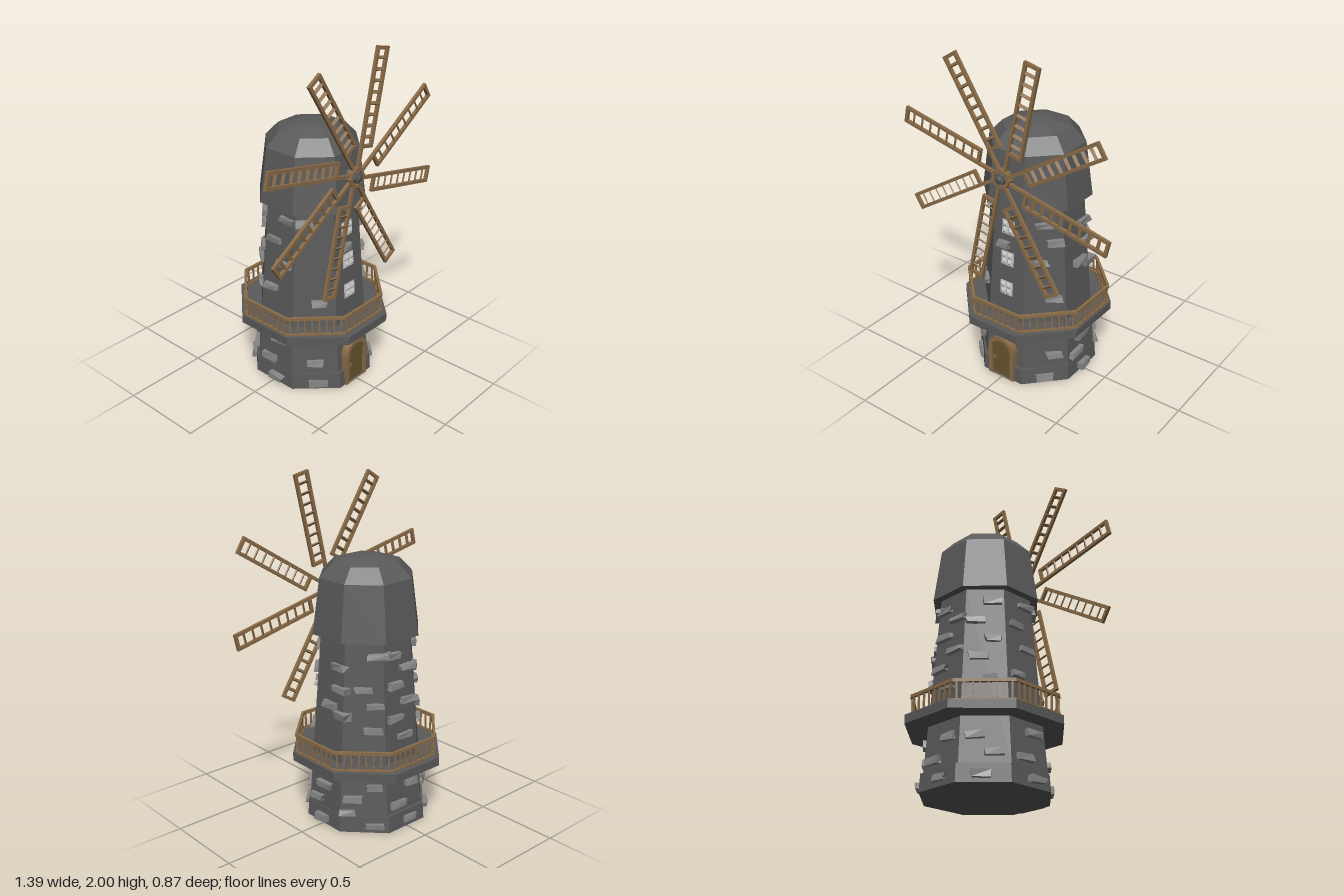
import * as THREE from 'three';

const mat = (name, color) => {
  const m = new THREE.MeshStandardMaterial({ color, flatShading: true });
  m.name = name;
  return m;
};

export function createModel() {
  const stone = mat('dark stone', 0x5a5a5a);
  const brickMat = mat('light brick', 0x868686);
  const wood = mat('wood', 0x8a6c48);
  const doorMat = mat('door wood', 0x66552c);
  const pane = mat('window grey', 0xc4c4c4);

  const root = new THREE.Group();
  root.name = 'windmill';
  let seed = 7;
  const rand = () => (seed = (seed * 16807) % 2147483647) / 2147483647;

  const add = (parent, name, geo, material, x = 0, y = 0, z = 0) => {
    const mesh = new THREE.Mesh(geo, material);
    mesh.name = name;
    mesh.position.set(x, y, z);
    parent.add(mesh);
    return mesh;
  };
  const group = (name, parent = root) => {
    const g = new THREE.Group();
    g.name = name;
    parent.add(g);
    return g;
  };
  const box = (w, h, d) => new THREE.BoxGeometry(w, h, d);

  // Octagonal solid with flat sides facing front; profile is [apothem, y]
  const octagon = (name, profile, sx = 1, sz = 1) => {
    const pts = profile.map(([a, y]) => new THREE.Vector2(a / Math.cos(Math.PI / 8), y));
    const geo = new THREE.LatheGeometry(pts, 8, Math.PI / 8);
    geo.scale(sx, 1, sz);
    return add(root, name, geo, stone);
  };

  // Tower body, balcony floor and domed cap
  octagon('base', [[0, 0], [0.342, 0], [0.336, 0.1], [0, 0.1]], 0.98, 1.02);
  octagon('tower', [[0.325, 0.1], [0.25, 1.13]]);
  octagon('balconyFloor', [[0, 0.36], [0.41, 0.36], [0.41, 0.41], [0, 0.41]], 1, 1.06);
  octagon('cap', [[0, 1.12], [0.295, 1.12], [0.255, 1.44], [0.185, 1.52], [0.09, 1.55], [0, 1.557]]);

  const wallAt = (y) => (y < 0.1 ? 0.34 : 0.325 - (y - 0.1) * 0.0735);
  const tilt = -0.0735;

  // Protruding bricks: [sideways, height] on each wall, walking round from the front
  const walls = [
    [[-0.03, 0.87]],
    [[0, 1.02], [0.06, 0.91], [-0.03, 0.79], [0.05, 0.56], [0.05, 0.18], [-0.01, 0.04]],
    [[0.07, 0.965], [0.02, 0.735], [0.11, 0.69], [0.09, 0.84], [0, 0.245], [-0.06, 0.15], [0, 0.04]],
    [[0.08, 1.04], [0, 0.845], [0.06, 0.755], [0.05, 0.61], [-0.06, 0.2], [-0.09, 0.12], [0.06, 0.27], [0.07, 0.04]],
    [[-0.05, 1.03], [0.06, 0.95], [-0.03, 0.86], [0.06, 0.76], [-0.05, 0.67], [0.02, 0.55], [0.05, 0.26], [-0.05, 0.15], [0.02, 0.05]],
    [[0.04, 1.04], [-0.05, 0.92], [0.05, 0.81], [-0.03, 0.7], [0.03, 0.57], [-0.05, 0.25], [0.05, 0.16], [-0.02, 0.04]],
    [[0.05, 1.05], [-0.04, 0.91], [0.04, 0.78], [-0.05, 0.61], [0.04, 0.29], [-0.04, 0.15], [0.03, 0.04]],
    [[-0.06, 1.05], [0.02, 0.56], [0, 0.17], [0.02, 0.04]],
  ];
  // Box with its eight corners shifted at random
  const roughBrick = () => {
    const geo = box(0.085 + rand() * 0.03, 0.032 + rand() * 0.008, 0.05);
    const p = geo.attributes.position;
    const shifts = Array.from({ length: 8 }, () => [rand() - 0.5, rand() - 0.5, rand() - 0.5]);
    for (let i = 0; i < p.count; i++) {
      const [x, y, z] = [p.getX(i), p.getY(i), p.getZ(i)];
      const s = shifts[(x > 0 ? 1 : 0) + (y > 0 ? 2 : 0) + (z > 0 ? 4 : 0)];
      p.setXYZ(i, x + s[0] * 0.02, y + s[1] * 0.012, z + s[2] * 0.014);
    }
    geo.computeVertexNormals();
    return geo;
  };
  const bricks = group('bricks');
  walls.forEach((list, k) => {
    const wall = group('wallBricks', bricks);
    wall.rotation.y = (k * Math.PI) / 4;
    for (const [u, y] of list) add(wall, 'brick', roughBrick(), brickMat, u, y, wallAt(y)).rotation.x = tilt;
  });

  // Balcony railing, one straight run per side
  const railing = group('railing');
  const apothem = 0.395;
  const side = 2 * apothem * Math.tan(Math.PI / 8);
  for (let k = 0; k < 8; k++) {
    const run = group('railingSide', railing);
    run.rotation.y = (k * Math.PI) / 4;
    add(run, 'topRail', box(side, 0.018, 0.016), wood, 0, 0.521, apothem);
    add(run, 'bottomRail', box(side, 0.01, 0.014), wood, 0, 0.417, apothem);
    for (let i = 0; i < 8; i++) {
      add(run, 'baluster', box(0.009, 0.1, 0.009), wood, ((i + 0.5) / 8 - 0.5) * side, 0.465, apothem)
        .rotation.z = (rand() - 0.5) * 0.12;
    }
  }

  // Arched door
  const arch = (Kind, r) => {
    const s = new Kind();
    s.moveTo(-r, 0);
    s.lineTo(r, 0);
    s.lineTo(r, 0.19);
    s.absarc(0, 0.19, r, 0, Math.PI, false);
    s.lineTo(-r, 0);
    return s;
  };
  const extrude = (shape, depth) =>
    new THREE.ExtrudeGeometry(shape, { depth, bevelEnabled: false, curveSegments: 6 });
  const door = group('door');
  const frame = arch(THREE.Shape, 0.092);
  frame.holes.push(arch(THREE.Path, 0.066));
  add(door, 'doorFrame', extrude(frame, 0.07), wood, -0.004, 0, 0.29);
  add(door, 'doorPanel', extrude(arch(THREE.Shape, 0.067), 0.058), doorMat, -0.004, 0, 0.29);
  add(door, 'doorHandle', box(0.01, 0.02, 0.012), wood, -0.052, 0.12, 0.351);

  // Windows with four faceted panes each
  const facet = new THREE.ConeGeometry(0.0255, 0.016, 4);
  facet.rotateY(Math.PI / 4);
  facet.rotateX(Math.PI / 2);
  for (const y of [0.98, 0.785, 0.595]) {
    const win = group('window');
    win.position.set(-0.004, y, wallAt(y));
    win.rotation.x = tilt;
    add(win, 'windowPlate', box(0.085, 0.085, 0.008), pane, 0, 0, 0.002);
    for (const sx of [-1, 1])
      for (const sy of [-1, 1]) add(win, 'windowPane', facet, pane, sx * 0.02, sy * 0.02, 0.013);
  }

  // Rotor: axle, hub and eight ladder sails trailing to one side of their spokes
  const rotor = group('rotor');
  rotor.position.set(-0.002, 1.308, 0.315);
  const axle = new THREE.CylinderGeometry(0.034, 0.034, 0.09, 8);
  axle.rotateX(Math.PI / 2);
  add(rotor, 'axle', axle, stone, 0, 0, -0.018);
  const ring = new THREE.Shape().absarc(0, 0, 0.06, 0, Math.PI * 2);
  ring.holes.push(new THREE.Path().absarc(0, 0, 0.042, 0, Math.PI * 2));
  add(rotor, 'hubRing', new THREE.ExtrudeGeometry(ring, { depth: 0.036, bevelEnabled: false, curveSegments: 4 }),
    wood, 0, 0, -0.018);
  const boss = new THREE.ConeGeometry(0.03, 0.012, 6);
  boss.rotateX(Math.PI / 2);
  add(rotor, 'hubBoss', boss, stone, 0, 0, 0.032);

  const tip = 0.71, inner = 0.16, width = 0.1, t = 0.018, rungs = 8;
  const length = tip - inner;
  for (let k = 0; k < 8; k++) {
    const sail = group('sail', rotor);
    sail.rotation.z = THREE.MathUtils.degToRad(77.3 + 45 * k);
    add(sail, 'spoke', box(tip - 0.03, t, t), wood, (tip + 0.03) / 2, -t / 2, 0);
    add(sail, 'outerRail', box(length, t, t), wood, inner + length / 2, -width + t / 2, 0);
    for (const x of [inner + t / 2, tip - t / 2])
      add(sail, 'endBar', box(t, width - 2 * t, t), wood, x, -width / 2, 0);
    for (let i = 1; i <= rungs; i++)
      add(sail, 'rung', box(0.018, width - 2 * t, 0.008), wood, inner + (length * i) / (rungs + 1), -width / 2, 0)
        .rotation.y = 0.7;
  }
  return root;
}
